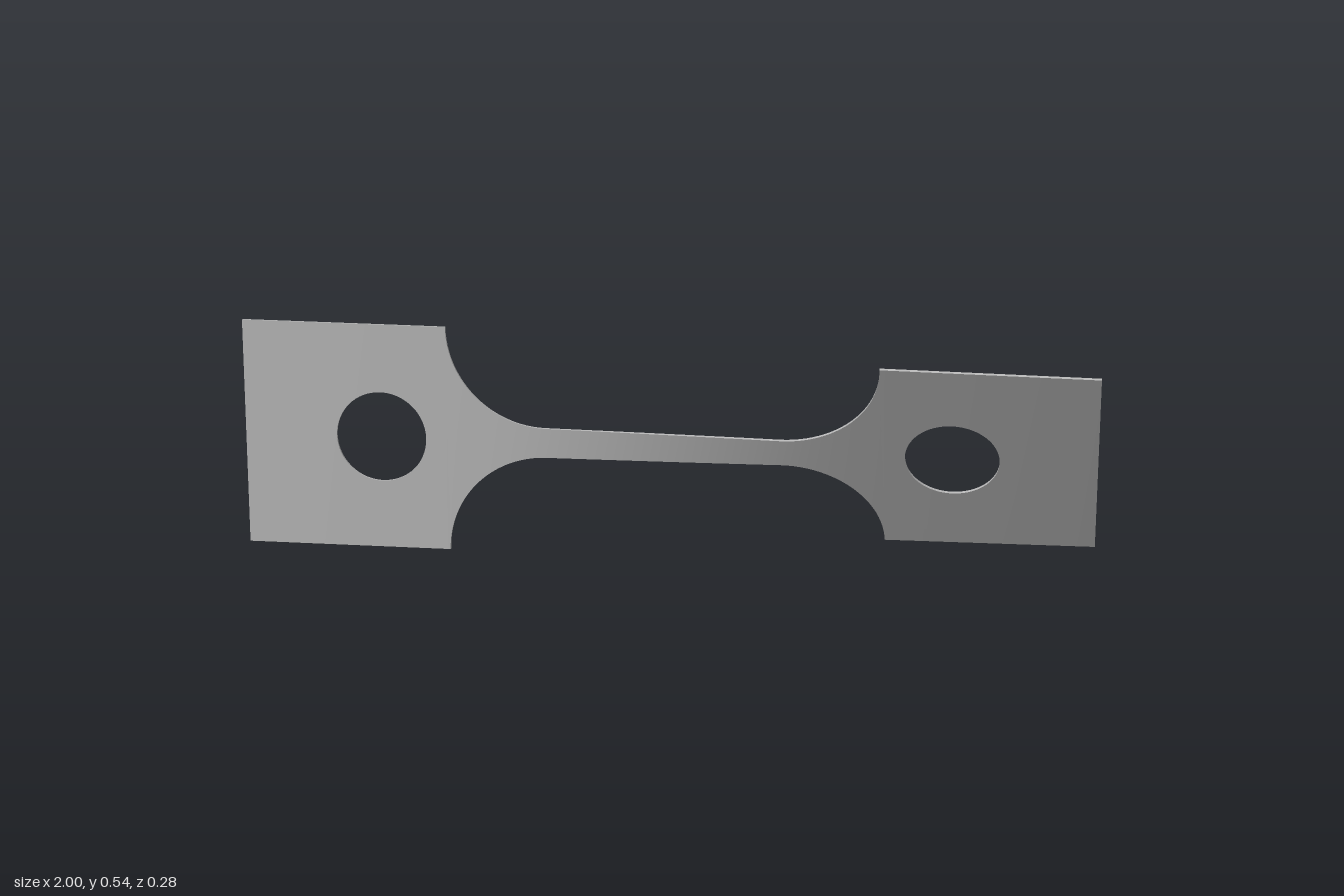
import * as THREE from 'three';
import { mergeGeometries, toCreasedNormals } from 'three/addons/utils/BufferGeometryUtils.js';

const HALF = 0.271;          // half height of the grips
const NECK = 0.036;          // half height of the neck
const FILLET = HALF - NECK;  // fillet radius
const GRIP_END = 0.51;       // inner edge of the grips
const HOLE_X = 0.67, HOLE_R = 0.108;
const HALF_T = 0.003;        // half thickness
const TWIST = THREE.MathUtils.degToRad(31);

// Half height of the flat outline at x
function halfHeight(x) {
  const d = Math.abs(x) - (GRIP_END - FILLET);
  if (d <= 0) return NECK;
  if (d >= FILLET) return HALF;
  return NECK + FILLET - Math.sqrt(FILLET * FILLET - d * d);
}

// Twist angle along x: the narrower the plate, the faster it turns
const STEPS = 800;
const turned = [0];
for (let i = 0; i < STEPS; i++) {
  const x = -1 + (2 * (i + 0.5)) / STEPS;
  turned.push(turned[i] + Math.pow(halfHeight(x), -1.2));
}
function twistAt(x) {
  const f = THREE.MathUtils.clamp(((x + 1) / 2) * STEPS, 0, STEPS);
  const i = Math.min(Math.floor(f), STEPS - 1);
  return (TWIST * THREE.MathUtils.lerp(turned[i], turned[i + 1], f - i)) / turned[STEPS];
}

// Evenly spaced or arc-spaced stations along x
function stations(from, to, n) {
  return Array.from({ length: n + 1 }, (_, i) => from + ((to - from) * i) / n);
}
function arcStations(center, radius, a0, a1, n) {
  return stations(a0, a1, n).map((a) => center + radius * Math.cos(a));
}

// Twisted bar between the curves lo(x) and hi(x), with optional end caps
function band(xs, lo, hi, capStart = false, capEnd = false) {
  const pos = [];
  const quad = (a, b, c, d) => pos.push(...a, ...b, ...c, ...a, ...c, ...d);
  const rings = xs.map((x) => {
    const c = Math.cos(twistAt(x)), s = Math.sin(twistAt(x));
    return [[lo(x), HALF_T], [hi(x), HALF_T], [hi(x), -HALF_T], [lo(x), -HALF_T]]
      .map(([y, t]) => [x, HALF + y * c - t * s, y * s + t * c]);
  });
  for (let i = 0; i < rings.length - 1; i++) {
    const p = rings[i], q = rings[i + 1];
    for (let k = 0; k < 4; k++) {
      const n = (k + 1) % 4;
      quad(p[k], q[k], q[n], p[n]);
    }
  }
  if (capStart) quad(...rings[0]);
  if (capEnd) quad(...rings[rings.length - 1].slice().reverse());
  const g = new THREE.BufferGeometry();
  g.setAttribute('position', new THREE.Float32BufferAttribute(pos, 3));
  return g;
}

export function createModel() {
  const group = new THREE.Group();
  const steel = new THREE.MeshStandardMaterial({ color: 0xb3b3b3 });
  steel.name = 'grey steel';

  const top = halfHeight;
  const bottom = (x) => -halfHeight(x);
  const add = (name, parts) => {
    const mesh = new THREE.Mesh(toCreasedNormals(mergeGeometries(parts), 0.6), steel);
    mesh.name = name;
    group.add(mesh);
  };

  // Grips: solid strips on both sides of a round hole, bands above and below it
  for (const side of [-1, 1]) {
    const cx = side * HOLE_X;
    const edge = (x) => Math.sqrt(Math.max(0, HOLE_R ** 2 - (x - cx) ** 2));
    const x0 = side < 0 ? -1 : GRIP_END;
    const x1 = side < 0 ? -GRIP_END : 1;
    const holeXs = arcStations(cx, HOLE_R, Math.PI, 0, 32);
    add(side < 0 ? 'rightGrip' : 'leftGrip', [
      band(stations(x0, cx - HOLE_R, 6), bottom, top, side < 0, false),
      band(holeXs, edge, top),
      band(holeXs, bottom, (x) => -edge(x)),
      band(stations(cx + HOLE_R, x1, 6), bottom, top, false, side > 0),
    ]);
  }

  // Neck with its rounded shoulders
  const start = GRIP_END - FILLET;
  const neckXs = [
    ...arcStations(-start, FILLET, Math.PI, Math.PI / 2, 24),
    ...stations(-start, start, 40).slice(1, -1),
    ...arcStations(start, FILLET, Math.PI / 2, 0, 24),
  ];
  add('neck', [band(neckXs, bottom, top)]);

  return group;
}
